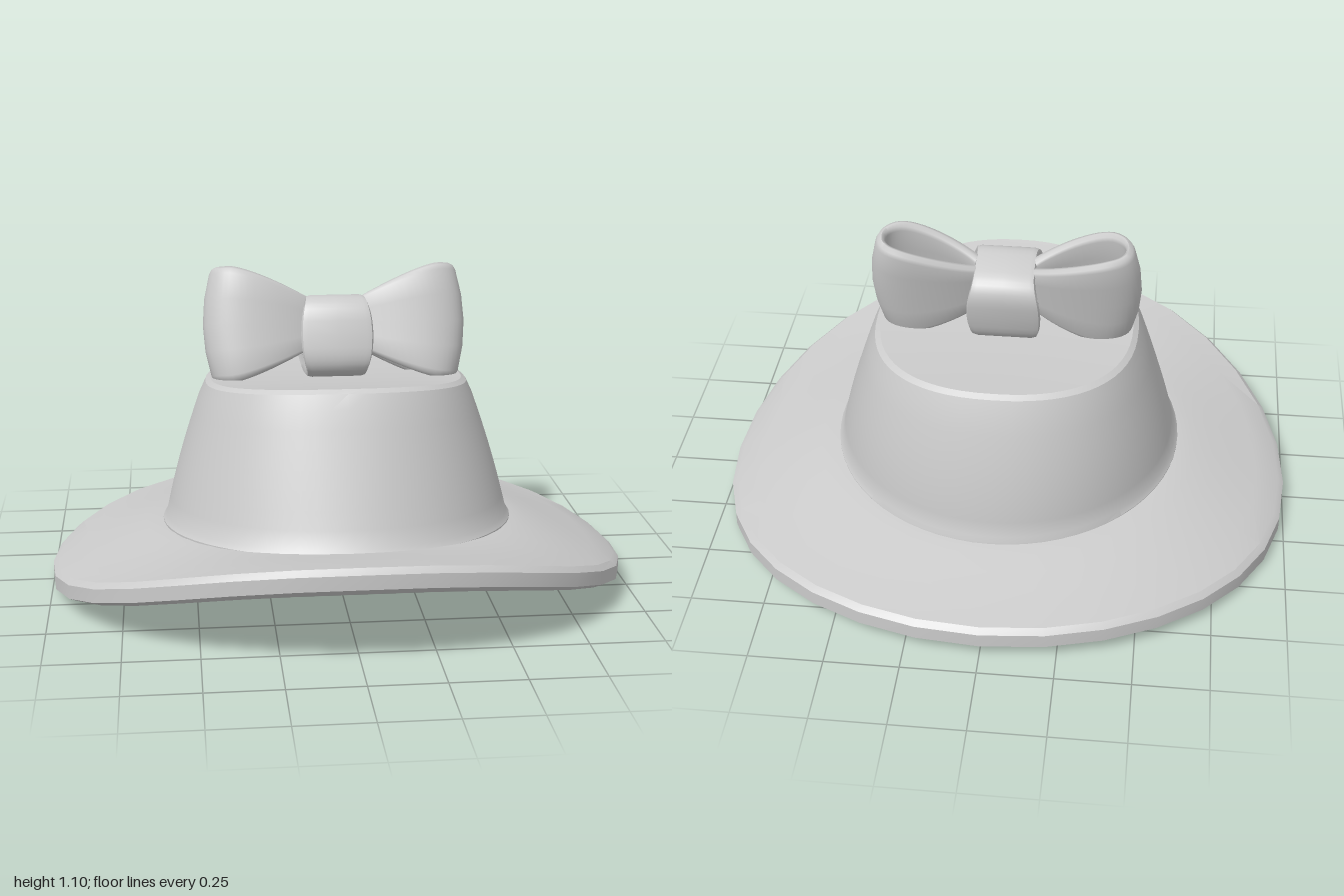
import * as THREE from 'three';
import { toCreasedNormals } from 'three/addons/utils/BufferGeometryUtils.js';

const material = new THREE.MeshStandardMaterial({ color: 0xcccccc });
const { lerp } = THREE.MathUtils;

// Skin over closed rings of [x, y, z]; closed joins the last ring to the first
function loft(rings, closed, crease) {
  const n = rings[0].length, m = rings.length, index = [];
  for (let i = 0; i < (closed ? m : m - 1); i++) {
    for (let j = 0; j < n; j++) {
      const k = (j + 1) % n, r = ((i + 1) % m) * n, s = i * n;
      index.push(s + j, s + k, r + k, s + j, r + k, r + j);
    }
  }
  const g = new THREE.BufferGeometry();
  g.setAttribute('position', new THREE.Float32BufferAttribute(rings.flat(2), 3));
  g.setIndex(index);
  return toCreasedNormals(g, crease);
}

function part(name, geometry) {
  const mesh = new THREE.Mesh(geometry, material);
  mesh.name = name;
  return mesh;
}

const ring = (n, f) => Array.from({ length: n }, (_, j) => f((j / n) * Math.PI * 2));

// Signed power, squaring off a circle
const soft = (v, e) => Math.sign(v) * Math.abs(v) ** e;

// Height of the brim's edge: rising to the front, drooping at the sides
const rimTop = (x, z) =>
  0.235 + 0.062 * z - 0.008 * z * z + 0.071 * z ** 3 - 0.16 * Math.abs(x) ** 2.5;

// Nearly flat seat where the crown meets the brim
const seat = (x, z) => 0.225 + 0.077 * z - 0.022 * x * x;

// Brim: shallow underside, bevelled rim, upper face easing from seat to rim
function makeBrim() {
  const at = (r, height) => ring(32, (a) => {
    const x = soft(Math.sin(a), 0.95), z = 0.935 * soft(Math.cos(a), 0.95);
    return [x * r, height(x, z, rimTop(x, z)), z * r];
  });
  const under = [0, 0.2, 0.4, 0.6, 0.8, 0.97].map((r) => at(r, (x, z, y) => {
    const tilt = 0.123 * z;
    return 0.083 + tilt * r + r * r * (y - 0.083 - 0.083 - tilt);
  }));
  const edge = [[1, 0.066], [1, 0.018]].map(([r, drop]) => at(r, (x, z, y) => y - drop));
  const upper = [0.98, 0.9, 0.82, 0.74, 0.67, 0.6, 0.3, 0].map((r) => at(r, (x, z, y) =>
    lerp(seat(x * r, z * r), y, (Math.max(0, r - 0.6) / 0.38) ** 1.25)));
  return loft([...under, ...edge, ...upper], false, 0.4);
}

// Crown: round base blending to a squarer, dished top
function makeCrown() {
  const topY = (z) => 0.71 + 0.08 * z + 0.14 * z * z;
  const level = (t, grow, lift) => ring(64, (a) => {
    const s = Math.sin(a), c = Math.cos(a);
    const bx = 0.6 * s, bz = 0.025 + 0.6 * c;
    const tx = 0.452 * soft(s, 0.87), tz = -0.02 + 0.45 * soft(c, 0.87);
    const bulge = 1 + 0.08 * t * (1 - t) * (1 - 0.9 * c);
    const x = lerp(bx, tx, t) * bulge * grow;
    const z = lerp(bz, tz, t) * bulge * grow;
    return [x, lerp(seat(bx, bz), topY(tz), t) + lift, z];
  });
  const rings = [level(0, 1.015, -0.02), level(0, 1.015, 0.002), level(0.03, 1, 0.004)];
  for (let i = 1; i <= 8; i++) rings.push(level(0.03 + 0.97 * i / 8, 1, i === 8 ? -0.012 : 0));
  // Bevel and top face
  rings.push(level(1, 0.96, 0));
  for (const k of [0.7, 0.35, 0]) {
    rings.push(rings[11].map(([x, , z]) => [x * k, topY(z * k), z * k]));
  }
  return loft(rings, false, 0.5);
}

// Bow loop: a rounded ribbon section swept round a teardrop
function makeLoop() {
  const section = [[1, -0.88], [1, -0.45], [1, 0], [1, 0.45], [1, 0.88], [0.75, 0.96], [0, 1], [-0.75, 0.96],
    [-1, 0.88], [-1, 0.45], [-1, 0], [-1, -0.45], [-1, -0.88], [-0.75, -0.96], [0, -1], [0.75, -0.96]];
  const path = (a) => new THREE.Vector2(
    0.257 + 0.181 * soft(Math.cos(a), 0.95),
    0.09 * Math.sin(a) * (0.74 + 0.26 * Math.cos(a)));
  return loft(ring(48, (a) => {
    const p = path(a), d = path(a + 0.01).sub(path(a - 0.01)).normalize();
    const half = 0.2 - 0.1 * (Math.max(0, 0.38 - p.x) / 0.27) ** 1.4;
    return section.map(([u, v]) => {
      const x = p.x + d.y * u * 0.018;
      return [x - 0.35 * v * v * x * x * x, half * v, p.y - d.x * u * 0.018];
    });
  }), true, 1.2);
}

// Knot: a cuff across the bow, widest at mid height
function makeKnot() {
  const profile = [[0, -0.105], [0.8, -0.115], [0.9, -0.122], [0.97, -0.117], [1, -0.1], [1, 0],
    [1, 0.1], [0.97, 0.117], [0.9, 0.122], [0.8, 0.115], [0, 0.105]];
  return loft(profile.map(([r, x]) => ring(40, (a) => {
    const y = -soft(Math.sin(a), 0.6), z = soft(Math.cos(a), 0.6);
    return [x * (1.02 - 0.18 * y * y), 0.142 * r * y, 0.126 * r * z];
  })), false, 0.8);
}

export function createModel() {
  const model = new THREE.Group();
  model.name = 'hat';
  model.add(part('brim', makeBrim()), part('crown', makeCrown()));

  // Bow, leaning back
  const bow = new THREE.Group();
  bow.name = 'bow';
  const loopGeometry = makeLoop();
  const leftLoop = part('leftLoop', loopGeometry);
  const rightLoop = part('rightLoop', loopGeometry);
  rightLoop.rotation.y = Math.PI;
  const knot = part('knot', makeKnot());
  knot.position.y = -0.045;
  bow.add(leftLoop, rightLoop, knot);
  bow.position.set(0, 0.883, -0.058);
  bow.rotation.x = -0.27;
  model.add(bow);

  // Rest the brim on the ground plane
  const low = new THREE.Box3().setFromObject(model).min.y;
  for (const child of model.children) child.position.y -= low;
  return model;
}
